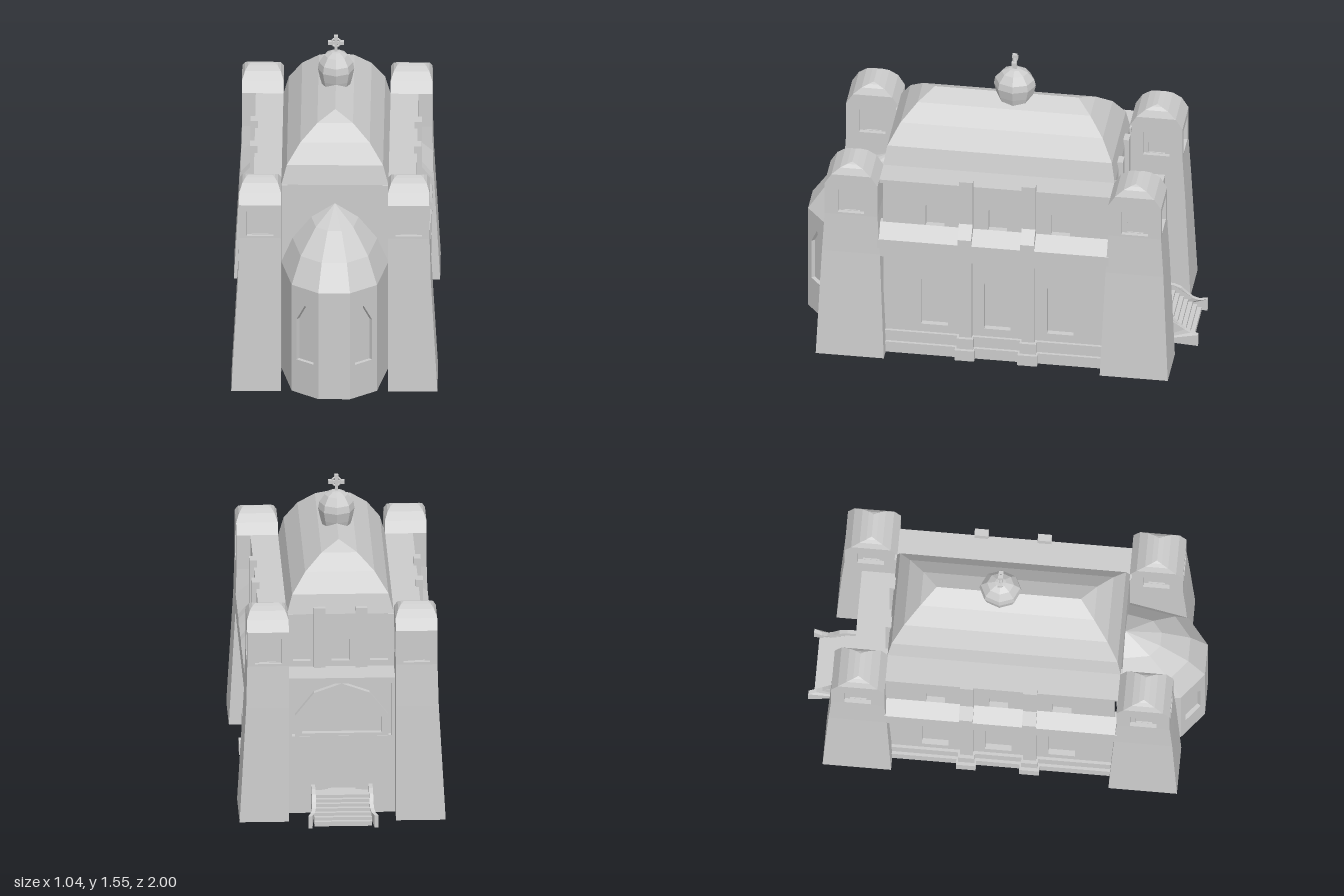
import * as THREE from 'three';

const mat = new THREE.MeshStandardMaterial({ color: 0xcccccc, flatShading: true, side: THREE.DoubleSide });

function add(parent, name, geo) {
  const m = new THREE.Mesh(geo, mat);
  m.name = name;
  parent.add(m);
  return m;
}

function box(parent, name, x0, x1, y0, y1, z0, z1) {
  const g = new THREE.BoxGeometry(x1 - x0, y1 - y0, z1 - z0);
  g.translate((x0 + x1) / 2, (y0 + y1) / 2, (z0 + z1) / 2);
  return add(parent, name, g);
}

const toShape = pts => new THREE.Shape(pts.map(p => new THREE.Vector2(...p)));

// Constant (x, y) profile running from z0 to z1
function prism(parent, name, pts, z0, z1) {
  const g = new THREE.ExtrudeGeometry(toShape(pts), { depth: z1 - z0, bevelEnabled: false });
  return add(parent, name, g.translate(0, 0, z0));
}

// Skin through rings that share a point count
function loft(parent, name, rings) {
  const n = rings[0].length, idx = [];
  for (let r = 0; r < rings.length - 1; r++) {
    for (let i = 0; i < n; i++) {
      const a = r * n + i, b = r * n + (i + 1) % n;
      idx.push(a, b, a + n, b, b + n, a + n);
    }
  }
  const g = new THREE.BufferGeometry();
  g.setAttribute('position', new THREE.Float32BufferAttribute(rings.flat(2), 3));
  g.setIndex(idx);
  g.computeVertexNormals();
  return add(parent, name, g);
}

const rect = (y, x0, x1, z0, z1) => [[x0, y, z1], [x1, y, z1], [x1, y, z0], [x0, y, z0]];

// Outline with a pointed head
const lancet = (cx, w, y0, ys, y1) =>
  [[cx - w / 2, y0], [cx + w / 2, y0], [cx + w / 2, ys], [cx, y1], [cx - w / 2, ys]];

// Wall with recessed openings: outer face at local z = 0, standing on local y = 0
function wall(parent, name, w, h, depth, holes, pos, turn = 0) {
  const s = toShape([[-w / 2, 0], [w / 2, 0], [w / 2, h], [-w / 2, h]]);
  holes.forEach(p => s.holes.push(new THREE.Path(p.map(q => new THREE.Vector2(...q)))));
  const grp = new THREE.Group();
  grp.name = name;
  add(grp, name + 'Face', new THREE.ExtrudeGeometry(s, { depth, bevelEnabled: false }).translate(0, 0, -depth));
  holes.forEach(p => add(grp, 'recess', new THREE.ShapeGeometry(toShape(p)).translate(0, 0, -depth * 0.85)));
  grp.position.set(...pos);
  grp.rotation.y = turn;
  parent.add(grp);
  return grp;
}

// Corner tower, drawn at +x +z
function tower() {
  const t = new THREE.Group();
  t.name = 'cornerTower';
  loft(t, 'towerShaft', [
    rect(0, 0.27, 0.52, 0.55, 0.897), rect(0.6, 0.27, 0.486, 0.575, 0.87), rect(0.82, 0.27, 0.48, 0.588, 0.857)]);
  const cx = 0.375, cz = 0.7225, q = Math.PI / 2;
  const niche = [[-0.067, 0.012], [0.067, 0.012], [0.067, 0.147], [-0.067, 0.147]];
  wall(t, 'belfryFront', 0.21, 0.18, 0.035, [niche], [cx, 0.82, 0.857]);
  wall(t, 'belfryInner', 0.21, 0.18, 0.035, [], [cx, 0.82, 0.588], 2 * q);
  wall(t, 'belfryOuter', 0.269, 0.18, 0.035, [niche], [0.48, 0.82, cz], q);
  wall(t, 'belfryCourt', 0.269, 0.18, 0.035, [niche], [0.27, 0.82, cz], -q);
  // Arched frame standing inside each niche
  const frame = toShape([[-0.067, 0.012], [0.067, 0.012], [0.067, 0.147], [-0.067, 0.147]]);
  const arch = new THREE.Path();
  arch.moveTo(-0.042, 0.014).lineTo(0.042, 0.014).lineTo(0.042, 0.065);
  arch.absarc(0, 0.065, 0.042, 0, Math.PI, false);
  arch.lineTo(-0.042, 0.014);
  frame.holes.push(arch);
  const fg = new THREE.ExtrudeGeometry(frame, { depth: 0.008, bevelEnabled: false, curveSegments: 4 });
  for (const [x, z, r] of [[cx, 0.857, 0], [0.48, cz, q], [0.27, cz, -q]]) {
    const m = add(t, 'nicheArch', fg);
    m.position.set(x - Math.sin(r) * 0.03, 0.82, z - Math.cos(r) * 0.03);
    m.rotation.y = r;
  }
  loft(t, 'towerRoof', [[1, 0.105, 0.1345], [1.055, 0.105, 0.1], [1.09, 0.09, 0.058], [1.105, 0.075, 0.025], [1.112, 0.06, 0]]
    .map(([y, a, b]) => rect(y, cx - a, cx + a, cz - b, cz + b)));
  return t;
}

// Long side, drawn at +x
function side() {
  const s = new THREE.Group();
  s.name = 'aisleSide';
  const mid = -0.015, bays = [-0.32, 0, 0.32], q = Math.PI / 2;
  wall(s, 'aisleWall', 1.16, 0.6, 0.035, bays.map(b => lancet(b, 0.135, 0.165, 0.43, 0.55)), [0.425, 0, mid], q);
  wall(s, 'clerestoryWall', 1.17, 0.3, 0.035, bays.map(b => lancet(b, 0.095, 0.05, 0.165, 0.23)), [0.41, 0.7, mid], q);
  prism(s, 'sideShelf', [[0.38, 0.59], [0.485, 0.59], [0.485, 0.69], [0.41, 0.75], [0.38, 0.75]], -0.59, 0.59);
  box(s, 'sideRoof', 0.24, 0.41, 0.98, 1, -0.6, 0.6);
  box(s, 'lowerPlinth', 0.4, 0.455, 0, 0.06, -0.57, 0.57);
  box(s, 'upperPlinth', 0.4, 0.44, 0.06, 0.12, -0.57, 0.57);
  for (const z of [mid - 0.16, mid + 0.16]) {
    box(s, 'pilaster', 0.41, 0.45, 0.1, 0.6, z - 0.033, z + 0.033);
    box(s, 'pilasterUpperBase', 0.41, 0.468, 0, 0.12, z - 0.042, z + 0.042);
    box(s, 'pilasterLowerBase', 0.41, 0.485, 0, 0.06, z - 0.05, z + 0.05);
    box(s, 'upperButtress', 0.395, 0.432, 0.7, 1.037, z - 0.035, z + 0.035);
    prism(s, 'buttressSlope', [[0.41, 0.69], [0.488, 0.69], [0.488, 0.725], [0.43, 0.79], [0.41, 0.79]], z - 0.035, z + 0.035);
  }
  return s;
}

function apse() {
  const a = new THREE.Group();
  a.name = 'apse';
  const plan = [[0.27, 0.59], [0.215, 0.89], [0.08, 1], [-0.08, 1], [-0.215, 0.89], [-0.27, 0.59]];
  for (let i = 0; i < 5; i++) {
    const [x0, z0] = plan[i], [x1, z1] = plan[i + 1];
    const holes = i % 2 ? [lancet(0, 0.11, 0.18, 0.4, 0.49)] : [];
    wall(a, 'apseWall', Math.hypot(x1 - x0, z1 - z0), 0.58, 0.025, holes,
      [(x0 + x1) / 2, 0, (z0 + z1) / 2], Math.atan2(z1 - z0, x0 - x1));
  }
  loft(a, 'apseRoof', [[1, 0.58], [0.79, 0.71], [0.44, 0.825], [0, 0.9]]
    .map(([k, y]) => plan.map(([x, z]) => [x * k, y, 0.59 + (z - 0.59) * k])));
  return a;
}

function portal() {
  const p = new THREE.Group();
  p.name = 'portal';
  const door = [[-0.1, 0.12], [0.1, 0.12], [0.1, 0.33], [-0.1, 0.33]];
  const panel = [[-0.25, 0.41], [0.25, 0.41], [0.25, 0.69], [-0.25, 0.69]];
  wall(p, 'portalWall', 0.56, 0.72, 0.04, [door, panel], [0, 0, -0.768], Math.PI);
  // Pointed arch band and tracery field
  const band = toShape([[-0.235, 0.41], [0.235, 0.41], [0.235, 0.52], [0.14, 0.64], [0, 0.69], [-0.14, 0.64], [-0.235, 0.52]]);
  band.holes.push(new THREE.Path([[-0.2, 0.425], [0.2, 0.425], [0.2, 0.51], [0.12, 0.61], [0, 0.655], [-0.12, 0.61], [-0.2, 0.51]]
    .map(q => new THREE.Vector2(...q))));
  add(p, 'archBand', new THREE.ExtrudeGeometry(band, { depth: 0.035, bevelEnabled: false }).translate(0, 0, -0.766));
  for (const x of [-0.085, 0.085]) box(p, 'doorJamb', x - 0.015, x + 0.015, 0.12, 0.33, -0.755, -0.735);
  box(p, 'doorLintel', -0.1, 0.1, 0.3, 0.33, -0.755, -0.735);
  box(p, 'portalRoof', -0.28, 0.28, 0.7, 0.72, -0.768, -0.59);
  wall(p, 'rearClerestory', 0.56, 0.3, 0.035, [-0.195, 0, 0.195].map(x => lancet(x, 0.09, 0.05, 0.165, 0.23)),
    [0, 0.7, -0.59], Math.PI);
  for (const x of [-0.105, 0.105]) box(p, 'rearButtress', x - 0.03, x + 0.03, 0.71, 1.037, -0.612, -0.575);
  // Steps and curved side rails
  const n = 7;
  for (let i = 0; i < n; i++) {
    box(p, 'step', -0.145, 0.145, 0, 0.12 - i * 0.016, -0.84 - i * 0.022, -0.818 - i * 0.022);
  }
  box(p, 'landing', -0.145, 0.145, 0, 0.12, -0.82, -0.76);
  const prof = [[0.76, 0], [1, 0], [1, 0.065], [0.96, 0.067], [0.93, 0.08], [0.9, 0.105], [0.87, 0.135], [0.83, 0.15], [0.76, 0.152]];
  const g = new THREE.ExtrudeGeometry(toShape(prof), { depth: 0.02, bevelEnabled: false });
  g.rotateY(Math.PI / 2).translate(0.135, 0, 0);
  const pos = g.attributes.position;
  for (let i = 0; i < pos.count; i++) {
    const flare = Math.max(0, -pos.getZ(i) - 0.9);
    pos.setX(i, pos.getX(i) + flare * flare * 2.2);
  }
  g.computeVertexNormals();
  add(p, 'stairRail', g);
  add(p, 'stairRail', g).scale.x = -1;
  return p;
}

export function createModel() {
  const model = new THREE.Group();
  model.name = 'church';

  for (const sx of [1, -1]) {
    const s = side();
    s.scale.x = sx;
    model.add(s);
    for (const sz of [1, -1]) {
      const t = tower();
      t.scale.set(sx, 1, sz);
      model.add(t);
    }
  }
  model.add(apse(), portal());
  box(model, 'frontWall', -0.28, 0.28, 0.55, 1, 0.57, 0.59);

  // Hipped vault over the nave
  loft(model, 'naveVault', [[1, 0.27, 0.59], [1.1, 0.243, 0.572], [1.2, 0.175, 0.515], [1.275, 0.09, 0.44], [1.32, 0, 0.365]]
    .map(([y, a, b]) => rect(y, -a, a, -b, b)));

  // Lantern and finial cross
  const top = new THREE.Group();
  top.name = 'lantern';
  top.position.z = -0.042;
  const prof = [[0.078, 1.27], [0.095, 1.32], [0.107, 1.37], [0.1, 1.405], [0.068, 1.445], [0.03, 1.463], [0, 1.468]];
  add(top, 'lanternDome', new THREE.LatheGeometry(prof.map(p => new THREE.Vector2(...p)), 8)).scale.x = 0.86;
  box(top, 'crossStem', -0.007, 0.007, 1.455, 1.545, -0.011, 0.011);
  box(top, 'crossArm', -0.035, 0.035, 1.505, 1.519, -0.011, 0.011);
  for (const [x, y] of [[-0.031, 1.512], [0.031, 1.512], [0, 1.541]]) {
    box(top, 'crossTip', x - 0.01, x + 0.01, y - 0.01, y + 0.008, -0.012, 0.012);
  }
  add(top, 'crossRing', new THREE.TorusGeometry(0.022, 0.006, 4, 12)).position.y = 1.512;
  model.add(top);
  return model;
}
